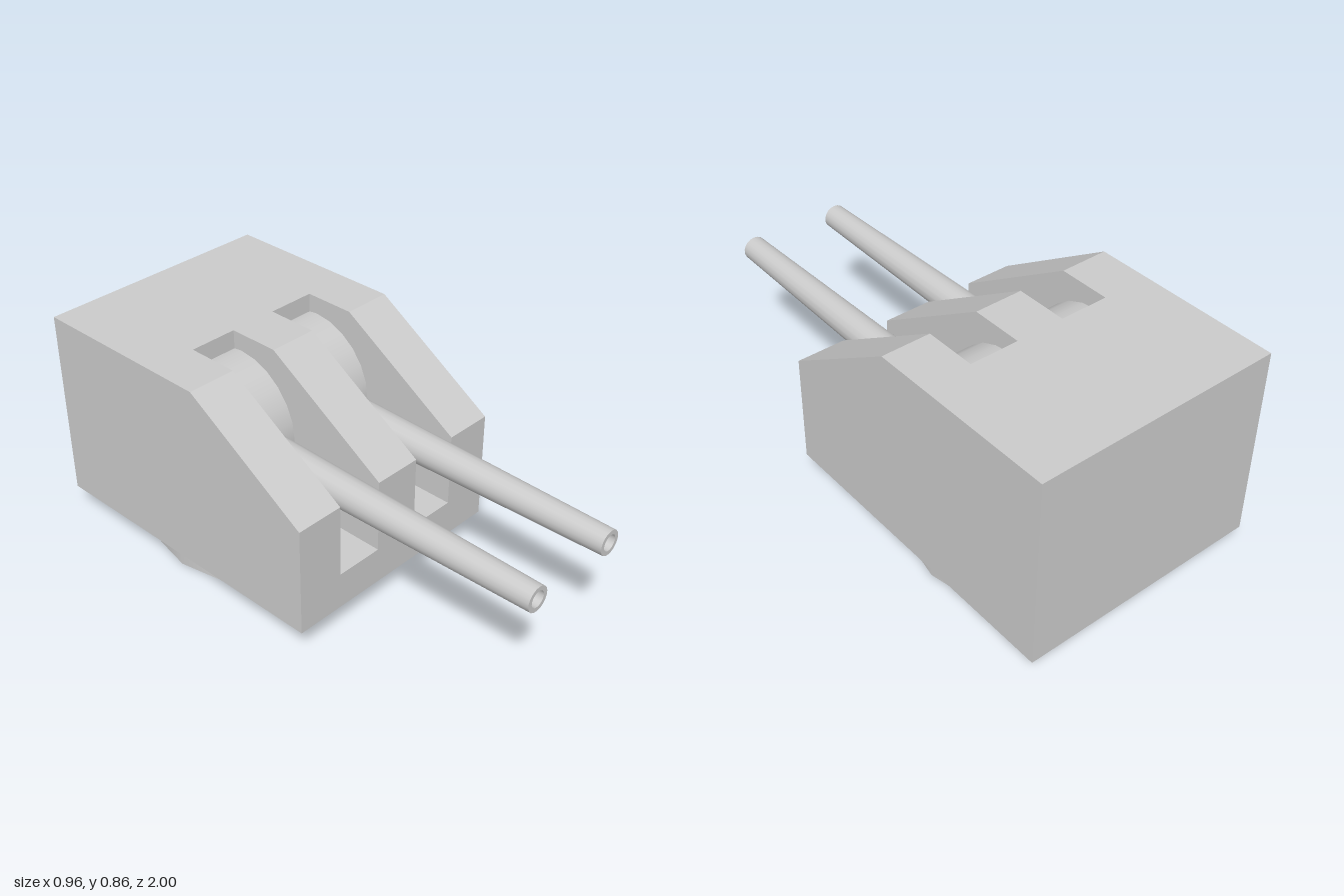
import * as THREE from 'three';

const grey = new THREE.MeshStandardMaterial({ color: 0xcccccc, side: THREE.DoubleSide });

// Main dimensions
const X = 0.48, BOTTOM = 0.105, TOP = 0.86, BACK = -1, FRONT = 0.255;
const BROW_Y = 0.54, BROW_Z = -0.25;           // ends of the sloped front plate
const SLOT_IN = 0.096, SLOT_OUT = 0.288, SLOT_FLOOR = 0.25, SLOT_BACK = -0.455;
const GUN_X = (SLOT_IN + SLOT_OUT) / 2;

// Adds one flat polygon, turned so that it faces the given direction
function addFace(out, pts, dir) {
  const v = pts.map(p => new THREE.Vector3(...p));
  const n = new THREE.Vector3(...dir);
  const flat = v.map(p => Math.abs(n.x) > 0.5 ? new THREE.Vector2(p.z, p.y)
    : Math.abs(n.z) > 0.5 ? new THREE.Vector2(p.x, p.y)
    : new THREE.Vector2(p.x, p.z));
  for (const [a, b, c] of THREE.ShapeUtils.triangulateShape(flat, [])) {
    const cross = v[b].clone().sub(v[a]).cross(v[c].clone().sub(v[a]));
    const order = cross.dot(n) > 0 ? [a, b, c] : [a, c, b];
    for (const i of order) out.push(...v[i].toArray());
  }
}

// Wedge-fronted housing with two slots cut through the front and roof
function housingGeometry() {
  const out = [];
  const face = (pts, dir) => addFace(out, pts, dir);
  // Outline along x that dips from the edge value to the slot value
  const notched = (edge, slot) => [
    [-X, edge], [-SLOT_OUT, edge], [-SLOT_OUT, slot], [-SLOT_IN, slot], [-SLOT_IN, edge],
    [SLOT_IN, edge], [SLOT_IN, slot], [SLOT_OUT, slot], [SLOT_OUT, edge], [X, edge],
  ];

  face([[-X, BOTTOM, BACK], [X, BOTTOM, BACK], [X, BOTTOM, FRONT], [-X, BOTTOM, FRONT]], [0, -1, 0]);
  face([[-X, BOTTOM, BACK], [X, BOTTOM, BACK], [X, TOP, BACK], [-X, TOP, BACK]], [0, 0, -1]);
  face([...notched(BROW_Y, SLOT_FLOOR).map(([x, y]) => [x, y, FRONT]),
    [X, BOTTOM, FRONT], [-X, BOTTOM, FRONT]], [0, 0, 1]);
  face([...notched(BROW_Z, SLOT_BACK).map(([x, z]) => [x, TOP, z]),
    [X, TOP, BACK], [-X, TOP, BACK]], [0, 1, 0]);

  // Sloped strips beside and between the slots
  for (const [a, b] of [[-X, -SLOT_OUT], [-SLOT_IN, SLOT_IN], [SLOT_OUT, X]]) {
    face([[a, BROW_Y, FRONT], [b, BROW_Y, FRONT], [b, TOP, BROW_Z], [a, TOP, BROW_Z]], [0, 1, 0.3]);
  }

  for (const s of [-1, 1]) {
    // Outer side
    face([[BOTTOM, FRONT], [BROW_Y, FRONT], [TOP, BROW_Z], [TOP, BACK], [BOTTOM, BACK]]
      .map(([y, z]) => [s * X, y, z]), [s, 0, 0]);
    // Slot walls, floor and back
    for (const [x, d] of [[SLOT_IN, 1], [SLOT_OUT, -1]]) {
      face([[SLOT_FLOOR, FRONT], [BROW_Y, FRONT], [TOP, BROW_Z], [TOP, SLOT_BACK], [SLOT_FLOOR, SLOT_BACK]]
        .map(([y, z]) => [s * x, y, z]), [s * d, 0, 0]);
    }
    const a = s * SLOT_IN, b = s * SLOT_OUT;
    face([[a, SLOT_FLOOR, SLOT_BACK], [b, SLOT_FLOOR, SLOT_BACK], [b, SLOT_FLOOR, FRONT], [a, SLOT_FLOOR, FRONT]], [0, 1, 0]);
    face([[a, SLOT_FLOOR, SLOT_BACK], [b, SLOT_FLOOR, SLOT_BACK], [b, TOP, SLOT_BACK], [a, TOP, SLOT_BACK]], [0, 0, 1]);
  }

  const g = new THREE.BufferGeometry();
  g.setAttribute('position', new THREE.Float32BufferAttribute(out, 3));
  g.computeVertexNormals();
  return g;
}

// Tapered barrel: outer wall, flat muzzle rim and hollow bore, each with its own normals
function makeBarrel() {
  const barrel = new THREE.Group();
  const profiles = {
    barrelTube: [[0.068, -0.18], [0.048, 1]],
    muzzleRim: [[0.048, 1], [0.031, 1]],
    bore: [[0.031, 1], [0.029, 0.93], [0.018, 0.91], [0, 0.9]],
  };
  for (const [name, pts] of Object.entries(profiles)) {
    const g = new THREE.LatheGeometry(pts.map(p => new THREE.Vector2(...p)), 18);
    g.rotateX(Math.PI / 2);
    const m = new THREE.Mesh(g, grey);
    m.name = name;
    barrel.add(m);
  }
  return barrel;
}

export function createModel() {
  const model = new THREE.Group();
  model.name = 'twinGunTurret';
  const add = (object, name, x, y, z) => {
    object.name = name;
    object.position.set(x, y, z);
    model.add(object);
  };

  add(new THREE.Mesh(housingGeometry(), grey), 'housing', 0, 0, 0);

  // Open turret ring underneath
  const ring = new THREE.CylinderGeometry(0.434, 0.434, BOTTOM, 16, 1, true);
  add(new THREE.Mesh(ring, grey), 'turretRing', 0, BOTTOM / 2, -0.432);

  // Curved gun shields filling the slots, with their barrels
  const shield = new THREE.CylinderGeometry(0.263, 0.263, SLOT_OUT - SLOT_IN, 24, 1, true);
  shield.rotateZ(Math.PI / 2);
  for (const [s, side] of [[1, 'left'], [-1, 'right']]) {
    add(new THREE.Mesh(shield, grey), side + 'GunShield', s * GUN_X, 0.528, -0.418);
    add(makeBarrel(), side + 'Barrel', s * GUN_X, 0.52, 0);
  }
  return model;
}
